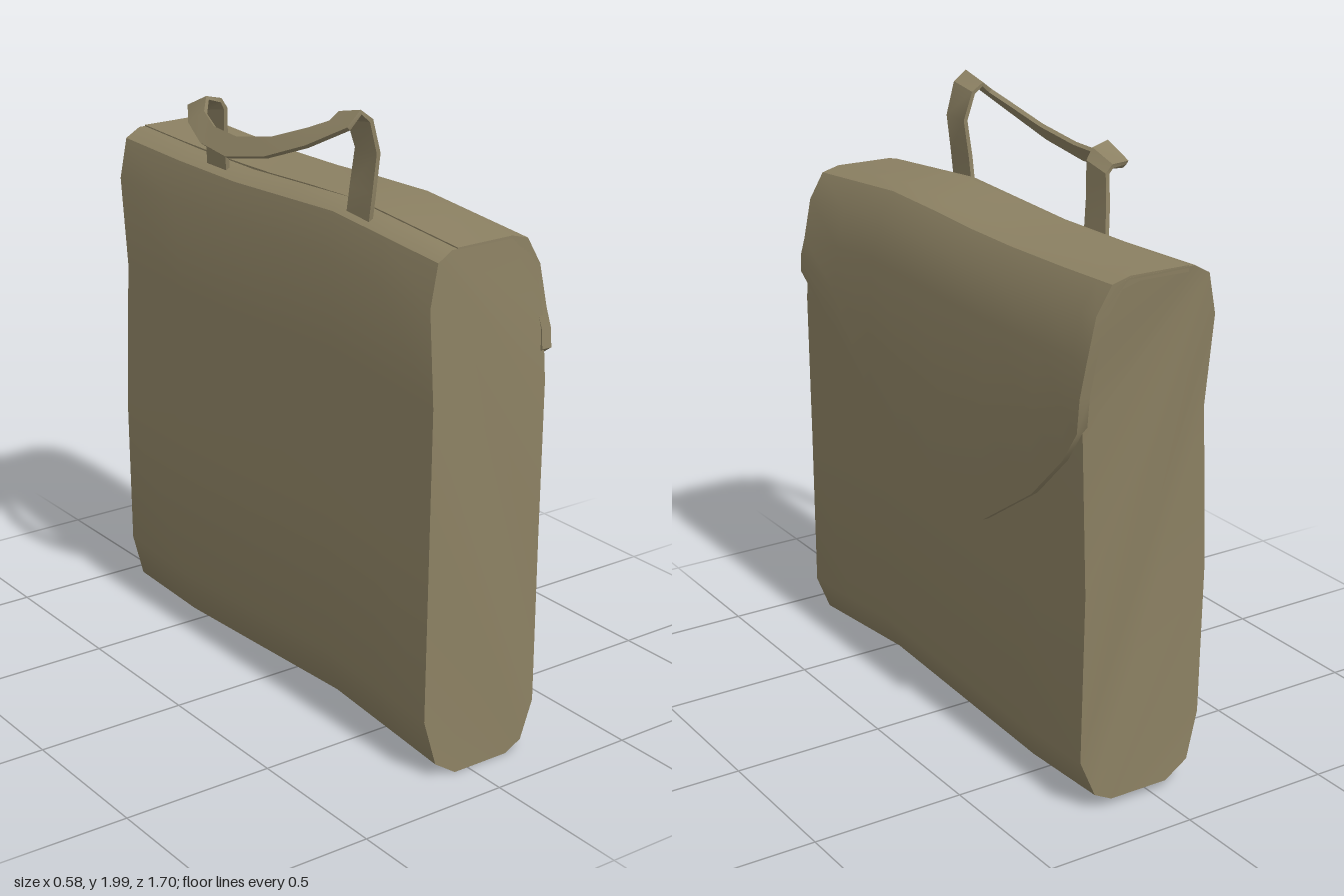
import * as THREE from 'three';
import { toCreasedNormals } from 'three/addons/utils/BufferGeometryUtils.js';

const leather = new THREE.MeshStandardMaterial({ color: 0x8b8062 });
leather.name = 'olive leather';

// Piecewise-linear lookup in [key, value] pairs with rising keys
function lookup(table, k) {
  if (k <= table[0][0]) return table[0][1];
  for (let i = 1; i < table.length; i++) {
    const [k0, v0] = table[i - 1], [k1, v1] = table[i];
    if (k <= k1) return v0 + (v1 - v0) * (k - k0) / (k1 - k0);
  }
  return table[table.length - 1][1];
}

// Skin closed loops of points and close both ends
function loft(sections, crease) {
  const n = sections[0].length, last = (sections.length - 1) * n;
  const positions = sections.flat().flatMap(p => [p.x, p.y, p.z]);
  const index = [];
  for (let s = 0; s < last; s += n) {
    for (let i = 0; i < n; i++) {
      const a = s + i, b = s + (i + 1) % n;
      index.push(a, a + n, b, b, a + n, b + n);
    }
  }
  for (let i = 0; i + 1 < n - 1 - i; i++) {
    const j = n - 1 - i;
    const tris = j - 1 > i + 1 ? [[i, i + 1, j - 1], [i, j - 1, j]] : [[i, i + 1, j]];
    for (const [a, b, c] of tris) index.push(a, b, c, last + a, last + c, last + b);
  }
  const g = new THREE.BufferGeometry();
  g.setAttribute('position', new THREE.Float32BufferAttribute(positions, 3));
  g.setIndex(index);
  return toCreasedNormals(g, crease);
}

function part(name, geometry) {
  const mesh = new THREE.Mesh(geometry, leather);
  mesh.name = name;
  return mesh;
}

// Soft, uneven outline of the bag: heights along its length, end positions by height
const TOP = [[0, 1.647], [0.3, 1.688], [0.61, 1.668], [0.8, 1.672], [1, 1.684]];
const BOTTOM = [[0, 0.005], [0.3, 0.05], [0.6, 0.03], [0.78, 0.015], [1, 0.03]];
const END_A = [[0, 0.85], [0.2, 0.84], [1.3, 0.84], [1.5, 0.81], [1.65, 0.805]];
const END_B = [[0, -0.805], [0.2, -0.795], [0.7, -0.815], [1.2, -0.795], [1.5, -0.84], [1.65, -0.85]];

// u runs from the +z end (0) to the -z end (1)
function place(u, x, y) {
  const b = lookup(BOTTOM, u), t = lookup(TOP, u);
  const z0 = lookup(END_A, y), z1 = lookup(END_B, y);
  return new THREE.Vector3(x < 0 ? x * (1 + 0.07 * u) : x, b + (y / 1.65) * (t - b), z0 + (z1 - z0) * u);
}

function makeBody() {
  const profile = [
    [-0.05, 0], [0.15, 0], [0.21, 0.03], [0.26, 0.15], [0.262, 0.7], [0.265, 1.2],
    [0.262, 1.4], [0.245, 1.55], [0.2, 1.63], [0.15, 1.65], [-0.07, 1.65], [-0.12, 1.62],
    [-0.15, 1.49], [-0.155, 1.2], [-0.16, 0.7], [-0.165, 0.2], [-0.125, 0.05],
  ];
  const stations = [0, 0.15, 0.3, 0.45, 0.61, 0.8, 1];
  return part('bagBody', loft(stations.map(u => profile.map(([x, y]) => place(u, x, y))), 0.75));
}

// Flap folded over the top, with a pointed curved lower edge
function makeFlap() {
  const edge = [
    [0, 1.3], [0.14, 1.12], [0.28, 0.94], [0.43, 0.795], [0.555, 0.715],
    [0.69, 0.775], [0.855, 0.95], [0.955, 1.1], [1, 1.2],
  ];
  const sections = edge.map(([u, yEnd]) => {
    const outer = [
      [-0.05, 1.654], [0.15, 1.656], [0.21, 1.64], [0.258, 1.555], [0.277, 1.42],
      [0.288, (1.42 + yEnd) / 2], [0.285, yEnd],
    ];
    const inner = outer.map(([x, y], i) => [x - (i ? 0.035 : 0), y - (i < 4 ? 0.02 : 0)]);
    return [...outer.reverse(), ...inner].map(([x, y]) => place(u, x, y));
  });
  return part('flap', loft(sections, 0.75));
}

// Flat strap handle: each row holds its two edges, [x, y, z] then [x, y, z]
function makeHandle() {
  const rows = [
    [-0.09, 1.64, 0.46, -0.09, 1.64, 0.35],
    [-0.088, 1.74, 0.475, -0.088, 1.74, 0.365],
    [-0.073, 1.86, 0.475, -0.073, 1.86, 0.37],
    [-0.105, 1.965, 0.48, -0.105, 1.95, 0.37],
    [-0.15, 1.998, 0.48, -0.15, 1.975, 0.375],
    [-0.19, 1.95, 0.47, -0.18, 1.95, 0.37],
    [-0.243, 1.88, 0.34, -0.205, 1.92, 0.3],
    [-0.275, 1.82, 0.18, -0.238, 1.87, 0.16],
    [-0.294, 1.785, 0, -0.255, 1.842, 0],
    [-0.28, 1.795, -0.16, -0.243, 1.845, -0.14],
    [-0.245, 1.83, -0.28, -0.215, 1.87, -0.235],
    [-0.195, 1.865, -0.36, -0.19, 1.91, -0.26],
    [-0.13, 1.865, -0.37, -0.13, 1.895, -0.265],
    [-0.105, 1.84, -0.37, -0.105, 1.86, -0.27],
    [-0.098, 1.75, -0.385, -0.098, 1.75, -0.28],
    [-0.085, 1.65, -0.4, -0.085, 1.65, -0.29],
  ].map(r => [new THREE.Vector3(...r.slice(0, 3)), new THREE.Vector3(...r.slice(3))]);
  const mid = ([a, b]) => a.clone().add(b).multiplyScalar(0.5);
  const sections = rows.map(([a, b], i) => {
    const tangent = mid(rows[Math.min(i + 1, rows.length - 1)]).sub(mid(rows[Math.max(i - 1, 0)]));
    const inset = b.clone().sub(a).cross(tangent).setLength(0.014);
    return [b, a, a.clone().sub(inset), b.clone().sub(inset)];
  });
  return part('handleStrap', loft(sections, 0.5));
}

export function createModel() {
  const bag = new THREE.Group();
  bag.name = 'satchel';
  bag.add(makeBody(), makeFlap(), makeHandle());
  return bag;
}
